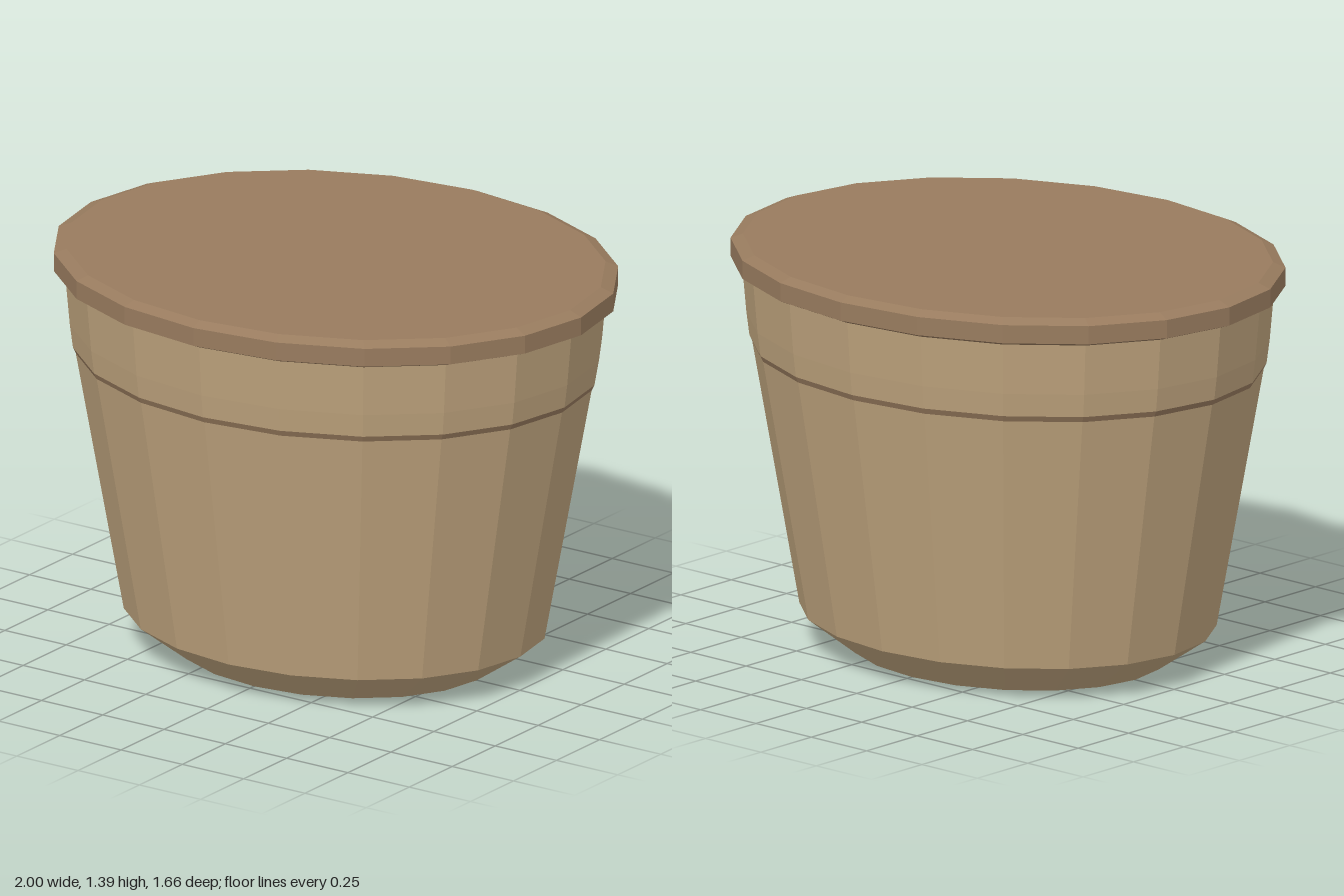
import * as THREE from 'three';

const SIDES = 20;
const DEPTH = 0.83; // oval footprint: depth relative to width

const tan = new THREE.MeshStandardMaterial({ color: 0xbda27c, flatShading: true });
tan.name = 'tan';
const brown = new THREE.MeshStandardMaterial({ color: 0x987b5e, flatShading: true });
brown.name = 'brown';

// Faceted oval ring from a [radius, height] profile, listed bottom to top
function ovalPart(name, profile, material) {
  const points = profile.map(([r, y]) => new THREE.Vector2(r, y));
  const geometry = new THREE.LatheGeometry(points, SIDES);
  geometry.scale(1, 1, DEPTH);
  const mesh = new THREE.Mesh(geometry, material);
  mesh.name = name;
  return mesh;
}

export function createModel() {
  const group = new THREE.Group();
  group.name = 'liddedTub';

  // Tapered body with a sloped foot and closed base
  group.add(ovalPart('body', [[0, 0], [0.575, 0], [0.752, 0.12], [0.922, 1.02]], tan));

  // Thin seam below the collar
  group.add(ovalPart('seam', [[0.922, 1.02], [0.932, 1.04]], brown));

  // Upper collar, slightly bulged, running up under the lid
  group.add(ovalPart('collar', [[0.932, 1.04], [0.943, 1.12], [0.96, 1.3]], tan));

  // Flat lid with bevelled rims
  group.add(ovalPart('lid',
    [[0, 1.297], [0.965, 1.297], [1, 1.31], [1, 1.373], [0.955, 1.39], [0, 1.39]], brown));

  return group;
}
